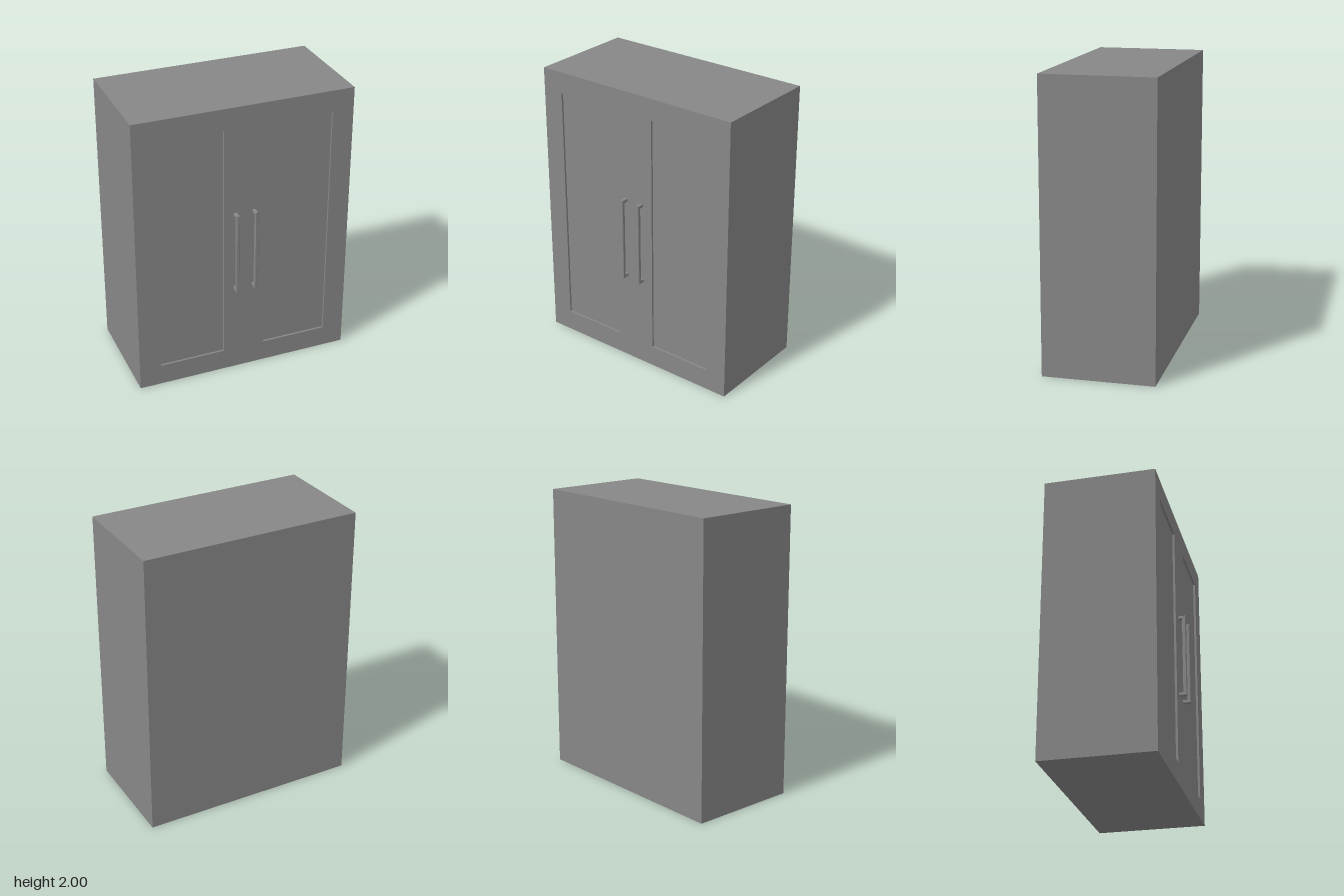
import * as THREE from 'three';

const W = 1.533, H = 2, BACK = -0.41, FRONT = 0.357, RECESS = 0.015;

export function createModel() {
  const model = new THREE.Group();
  const material = new THREE.MeshStandardMaterial({ color: 0x878787, flatShading: true });

  const add = (name, geometry) => {
    const mesh = new THREE.Mesh(geometry, material);
    mesh.name = name;
    model.add(mesh);
    return mesh;
  };

  // Rectangle from corner to corner, usable as outline or hole
  const rect = (Type, x0, y0, x1, y1) => new Type([
    [x0, y0], [x1, y0], [x1, y1], [x0, y1],
  ].map(([x, y]) => new THREE.Vector2(x, y)));

  // Cabinet body; its front shows as the recessed door panels
  const depth = FRONT - RECESS - BACK;
  add('cabinetBody', new THREE.BoxGeometry(W, H, depth))
    .position.set(0, H / 2, BACK + depth / 2);

  // Door frames with one tall opening on each side
  const frame = rect(THREE.Shape, -W / 2, 0, W / 2, H);
  frame.holes.push(
    rect(THREE.Path, -0.616, 0.15, -0.15, 1.85),
    rect(THREE.Path, 0.15, 0.15, 0.616, 1.85),
  );
  add('doorFrames', new THREE.ExtrudeGeometry(frame, { depth: RECESS, bevelEnabled: false }))
    .position.z = FRONT - RECESS;

  // Bar handle: U outline (z, y) extruded across x, with chamfered edges
  const bar = 0.025, chamfer = 0.004, z0 = 0.345, z1 = 0.41, y0 = 0.645, y1 = 1.24;
  const outline = new THREE.Shape([
    [z0, y0], [z1, y0], [z1, y1], [z0, y1],
    [z0, y1 - bar], [z1 - bar, y1 - bar], [z1 - bar, y0 + bar], [z0, y0 + bar],
  ].map(([z, y]) => new THREE.Vector2(z, y)));
  const handle = new THREE.ExtrudeGeometry(outline, {
    depth: bar - 2 * chamfer,
    bevelSize: chamfer,
    bevelThickness: chamfer,
    bevelOffset: -chamfer,
    bevelSegments: 1,
  });
  handle.translate(0, 0, -(bar / 2 - chamfer)).rotateY(-Math.PI / 2);
  for (const side of [-1, 1]) {
    add(side > 0 ? 'leftHandle' : 'rightHandle', handle).position.x = side * 0.067;
  }

  return model;
}
